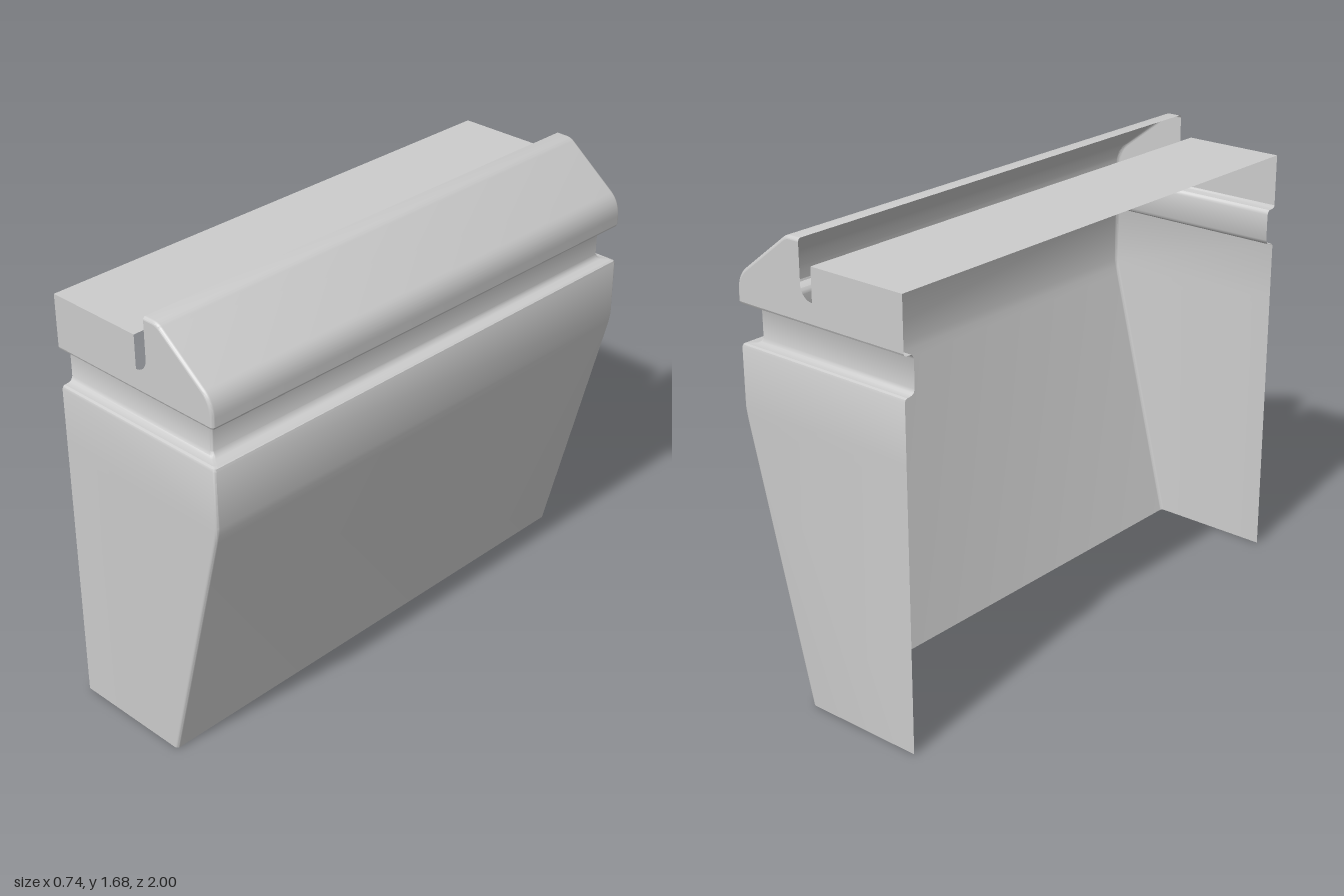
import * as THREE from 'three';
import { toCreasedNormals } from 'three/addons/utils/BufferGeometryUtils.js';

const BACK = -0.37;   // open side
const R = 0.012;      // small edge rounding
const SEAM = 1.408;   // height where the top moulding starts
const STEPS = 4;

// Surface through equal-length rows of [x, y, z] points
function loft(rows) {
  const n = rows[0].length, index = [];
  for (let i = 0; i < rows.length - 1; i++) {
    for (let j = 0; j < n - 1; j++) {
      const a = i * n + j;
      index.push(a, a + 1, a + n, a + 1, a + n + 1, a + n);
    }
  }
  const geo = new THREE.BufferGeometry();
  geo.setAttribute('position', new THREE.Float32BufferAttribute(rows.flat(2), 3));
  geo.setIndex(index);
  return toCreasedNormals(geo, 0.6);
}

// U-shaped section of the shell: one end wall, front face, other end wall
function section([y, x, z]) {
  const half = [[BACK, y, z]];
  for (let k = 0; k <= STEPS; k++) {
    const a = (k / STEPS) * Math.PI / 2;
    half.push([x - R + R * Math.sin(a), y, z - R + R * Math.cos(a)]);
  }
  return [...half, ...half.map(([px, py, pz]) => [px, py, -pz]).reverse()];
}

// Sloping top moulding, from its lower edge up to the lip of the slot
function mouldingProfile() {
  const path = new THREE.Path();
  path.moveTo(0.367, SEAM);
  path.lineTo(0.367, 1.44);
  path.bezierCurveTo(0.367, 1.475, 0.355, 1.505, 0.33, 1.525);
  path.lineTo(0.145, 1.668);
  path.quadraticCurveTo(0.13, 1.68, 0.11, 1.68);
  path.lineTo(0.07, 1.68);
  return path.getPoints(8);
}

// Moves a profile inwards along its normals
function inset(points, d) {
  return points.map((p, i) => {
    const t = points[Math.min(i + 1, points.length - 1)].clone()
      .sub(points[Math.max(i - 1, 0)]).normalize();
    return new THREE.Vector2(p.x - t.y * d, p.y + t.x * d);
  });
}

export function createModel() {
  const group = new THREE.Group();
  const material = new THREE.MeshStandardMaterial({ color: 0xcccccc, side: THREE.DoubleSide });
  const add = (name, geo) => {
    const mesh = new THREE.Mesh(geo, material);
    mesh.name = name;
    group.add(mesh);
    return mesh;
  };

  // Tapered lower panel and recessed groove: [height, front x, end z]
  const panel = [
    [0, 0.105, 1], [0.98, 0.355, 1], [1.01, 0.362, 1], [1.04, 0.367, 1],
    [1.25, 0.367, 1], [1.258, 0.364, 0.997], [1.262, 0.356, 0.989]
  ];
  const groove = [
    [1.262, 0.356, 0.989], [1.264, 0.326, 0.969], [1.27, 0.317, 0.961],
    [1.282, 0.311, 0.956], [1.38, 0.311, 0.956], [1.39, 0.315, 0.96],
    [1.397, 0.323, 0.967], [1.398, 0.355, 0.988], [1.401, 0.364, 0.997], [SEAM, 0.367, 1]
  ];
  add('lowerPanel', loft(panel.map(section)));
  add('groove', loft(groove.map(section)));

  // Top moulding with rounded rims at both ends
  const profile = mouldingProfile();
  const stations = [];
  for (let k = 0; k <= STEPS; k++) {
    const a = (k / STEPS) * Math.PI / 2;
    stations.push({ z: 1 - R + R * Math.cos(a), points: inset(profile, R * (1 - Math.sin(a))) });
  }
  const ends = [...stations, ...stations.map(s => ({ z: -s.z, points: s.points })).reverse()];
  add('topMoulding', loft(profile.map((_, i) =>
    ends.map(s => [s.points[i].x, s.points[i].y, s.z]))));

  // End plates with the notch of the slot
  const plate = new THREE.Shape();
  plate.moveTo(BACK, SEAM);
  inset(profile, R).forEach(p => plate.lineTo(p.x, p.y));
  plate.lineTo(0.07, 1.53);
  plate.absarc(0.02, 1.53, 0.05, 0, -Math.PI / 2, true);
  plate.lineTo(0.02, 1.6);
  plate.lineTo(BACK, 1.6);
  plate.closePath();
  const plateGeo = new THREE.ShapeGeometry(plate, 8).translate(0, 0, 1);
  add('frontEndPlate', plateGeo);
  add('backEndPlate', plateGeo).scale.z = -1;

  // Flat top sheet behind the slot
  add('topSheet', new THREE.PlaneGeometry(0.02 - BACK, 2)
    .rotateX(-Math.PI / 2).translate((0.02 + BACK) / 2, 1.6, 0));

  return group;
}
